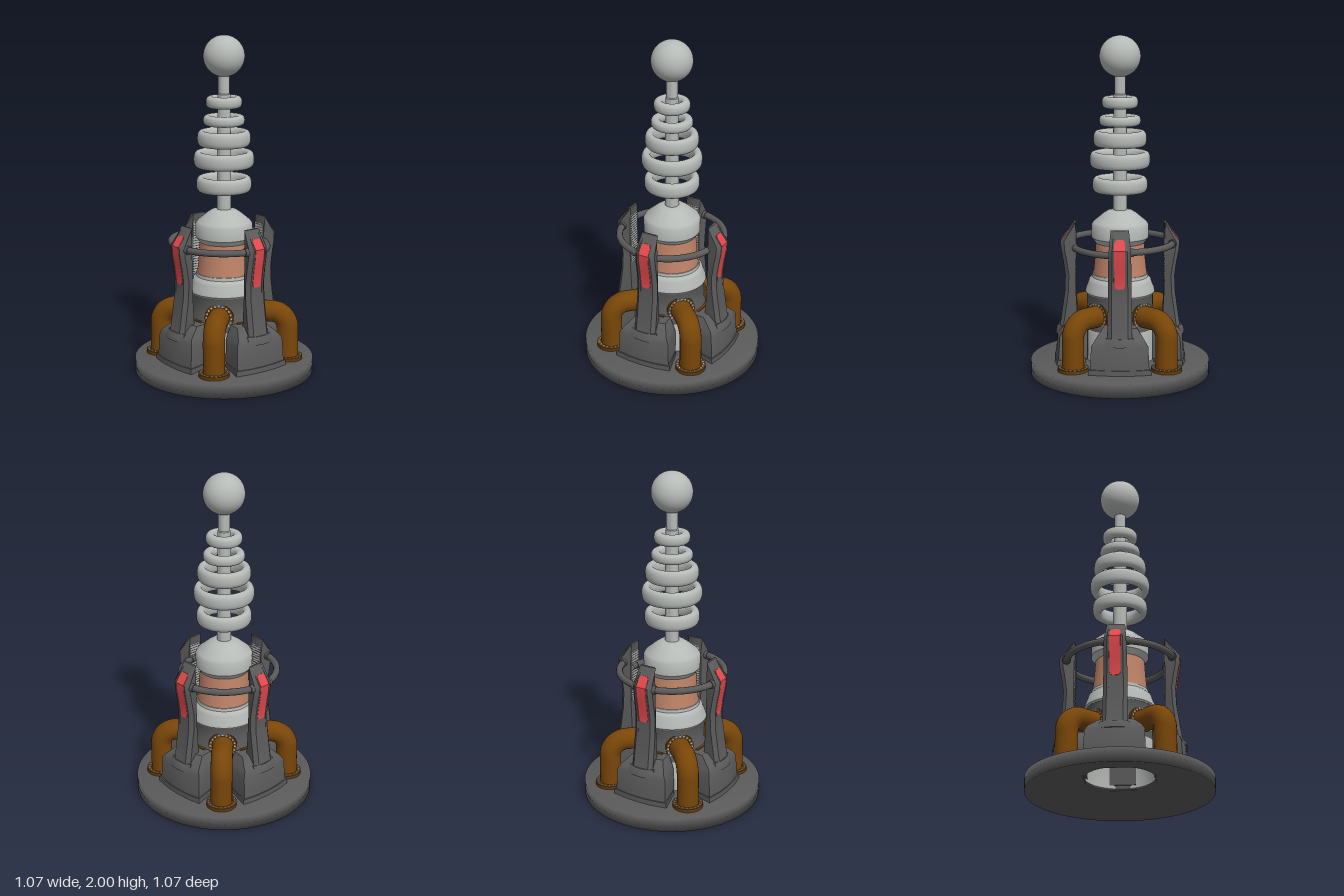
import * as THREE from 'three';
import { toCreasedNormals } from 'three/addons/utils/BufferGeometryUtils.js';

const mat = (name, color, side = THREE.FrontSide) => {
  const m = new THREE.MeshStandardMaterial({ color, side });
  m.name = name;
  return m;
};
const dark = mat('dark steel', 0x5a5a5a, THREE.DoubleSide);
const light = mat('pale metal', 0xb6bab7, THREE.DoubleSide);
const copper = mat('copper', 0xc08469);
const brown = mat('brown pipe', 0x784608, THREE.DoubleSide);
const flangeBrown = mat('dark brown flange', 0x643b0a);
const red = mat('red light', 0xe2484c);

function add(parent, name, geo, material, x = 0, y = 0, z = 0) {
  const m = new THREE.Mesh(geo, material);
  m.name = name;
  m.position.set(x, y, z);
  parent.add(m);
  return m;
}

// Turned parts from [radius, y] pairs, listed upwards on the outside
const smoothLathe = (pts, seg = 64, start = 0, sweep = Math.PI * 2) =>
  new THREE.LatheGeometry(pts.map(p => new THREE.Vector2(...p)), seg, start, sweep);
const lathe = (...args) => toCreasedNormals(smoothLathe(...args), 0.6);

// Solid through equal-length cross-sections of [x, z] at rising heights
function loft(levels) {
  const n = levels[0].pts.length, pos = [];
  const P = (l, i) => [levels[l].pts[i % n][0], levels[l].y, levels[l].pts[i % n][1]];
  for (let l = 0; l < levels.length - 1; l++)
    for (let i = 0; i < n; i++)
      pos.push(...P(l, i), ...P(l, i + 1), ...P(l + 1, i + 1), ...P(l, i), ...P(l + 1, i + 1), ...P(l + 1, i));
  const t = levels.length - 1;
  for (let i = 1; i < n - 1; i++)
    pos.push(...P(0, 0), ...P(0, i + 1), ...P(0, i), ...P(t, 0), ...P(t, i), ...P(t, i + 1));
  const g = new THREE.BufferGeometry();
  g.setAttribute('position', new THREE.Float32BufferAttribute(pos, 3));
  return toCreasedNormals(g, 0.6);
}

// Fin levels: y, outer radius, inner radius, half width, groove depth
const FIN = [
  [0.26, 0.37, 0.24, 0.071, 0], [0.3, 0.355, 0.25, 0.07, 0], [0.4, 0.34, 0.255, 0.069, 0], [0.5, 0.326, 0.26, 0.068, 0],
  [0.6, 0.322, 0.262, 0.067, 0.006], [0.68, 0.333, 0.262, 0.066, 0.006], [0.75, 0.346, 0.262, 0.065, 0.006],
  [0.805, 0.35, 0.262, 0.063, 0.006], [0.91, 0.272, 0.26, 0.052, 0],
];
function finOuter(y) {
  const i = FIN.findIndex((f, k) => k > 0 && f[0] >= y);
  const a = FIN[i - 1], b = FIN[i];
  return a[1] + (b[1] - a[1]) * (y - a[0]) / (b[0] - a[0]);
}

function footLevel(y, ro, ri, wo, wi) {
  return { y, pts: [[-wo, ro - 0.022], [-wo / 2, ro - 0.005], [0, ro], [wo / 2, ro - 0.005], [wo, ro - 0.022], [wi, ri], [-wi, ri]] };
}

function buildButtress() {
  const g = new THREE.Group();
  g.name = 'buttress';
  add(g, 'footFlange', loft([footLevel(0.08, 0.39, 0.2, 0.182, 0.135), footLevel(0.115, 0.388, 0.2, 0.18, 0.135)]), dark);
  add(g, 'foot', loft([
    footLevel(0.11, 0.382, 0.19, 0.17, 0.128), footLevel(0.25, 0.374, 0.19, 0.164, 0.125),
    footLevel(0.28, 0.36, 0.19, 0.145, 0.115), footLevel(0.335, 0.29, 0.19, 0.1, 0.09),
  ]), dark);
  add(g, 'finSocket', loft([footLevel(0.25, 0.384, 0.24, 0.092, 0.08), footLevel(0.275, 0.378, 0.24, 0.088, 0.08),
    footLevel(0.295, 0.365, 0.25, 0.08, 0.072)]), dark);
  add(g, 'fin', loft(FIN.map(([y, ro, ri, w, d]) => {
    const c = ro - Math.min(0.022, (ro - ri) / 2), s = w * 0.68, q = 0.034;
    return { y, pts: [[-s, ro], [-q, ro], [-q, ro - d], [q, ro - d], [q, ro], [s, ro],
      [w, c], [w * 0.72, ri], [-w * 0.72, ri], [-w, c]] };
  })), dark);
  // Light strip set into the groove, rounded at both ends
  const strip = [[0.578, 0.016], [0.584, 0.025], [0.6, 0.031], [0.68, 0.031], [0.75, 0.031],
    [0.805, 0.031], [0.84, 0.031], [0.855, 0.027], [0.863, 0.018]];
  add(g, 'lightStrip', loft(strip.map(([y, w]) => {
    const r = finOuter(y) - 0.001;
    return { y, pts: [[-w, r], [w, r], [w, r - 0.006], [-w, r - 0.006]] };
  })), red);
  // Pale plate with dark ribs on the fin's inner face
  add(g, 'innerPlate', new THREE.BoxGeometry(0.076, 0.32, 0.006), light, 0, 0.7, 0.262);
  const rib = new THREE.BoxGeometry(0.076, 0.005, 0.006);
  for (let i = 0; i < 20; i++) add(g, 'innerRib', rib, dark, 0, 0.548 + i * 0.016, 0.2605);
  // Brown band between the fin and the core
  add(g, 'innerBand', lathe([[0.19, 0.325], [0.218, 0.325], [0.218, 0.342], [0.19, 0.342]], 16, -0.28, 0.56), brown);
  return g;
}

// Ring of bolts around the y axis
function bolts(parent, radius, y, count) {
  const geo = new THREE.CylinderGeometry(0.006, 0.006, 0.008, 8);
  for (let i = 0; i < count; i++) {
    const a = i / count * Math.PI * 2;
    add(parent, 'bolt', geo, light, Math.cos(a) * radius, y, Math.sin(a) * radius);
  }
}

// Elbow pipe running out along +z, with a flange at each end
function buildPipe() {
  const g = new THREE.Group();
  g.name = 'pipe';
  const R = 0.382, top = 0.37, bend = 0.095;
  const path = new THREE.CurvePath();
  const V = (y, z) => new THREE.Vector3(0, y, z);
  path.add(new THREE.LineCurve3(V(0.08, R), V(top - bend, R)));
  path.add(new THREE.CubicBezierCurve3(V(top - bend, R), V(top - bend * 0.45, R), V(top, R - bend * 0.45), V(top, R - bend)));
  path.add(new THREE.LineCurve3(V(top, R - bend), V(top, 0.17)));
  add(g, 'elbow', new THREE.TubeGeometry(path, 40, 0.064, 24), brown);
  const ends = [['baseFlange', 0.092, R, 0, 0.09], ['wallFlange', top, 0.181, Math.PI / 2, 0.085]];
  for (const [name, y, z, tilt, r] of ends) {
    const f = new THREE.Group();
    f.name = name;
    f.position.set(0, y, z);
    f.rotation.x = tilt;
    add(f, 'flangePlate', toCreasedNormals(new THREE.CylinderGeometry(r, r, 0.024, 32), 0.6), flangeBrown);
    bolts(f, r - 0.012, 0.013, 20);
    g.add(f);
  }
  return g;
}

// Hollow ring with rounded edges
function coilRing(outer, h, depth) {
  const pts = [];
  const sq = v => Math.sign(v) * Math.pow(Math.abs(v), 0.85);
  for (let i = 0; i <= 20; i++) {
    const a = i / 20 * Math.PI * 2 + Math.PI;
    pts.push([outer - depth + sq(Math.cos(a)) * depth, sq(Math.sin(a)) * h]);
  }
  return smoothLathe(pts, 48);
}

export function createModel() {
  const model = new THREE.Group();
  model.name = 'coilTower';

  // Base plate, hollowed underneath
  add(model, 'basePlate', smoothLathe([[0.2, 0.085], [0.533, 0], [0.533, 0.082], [0.2, 0.09], [0.2, 0.085]], 72), dark);

  // Core
  add(model, 'lowerDrum', lathe([[0.2, 0.085], [0.205, 0.09], [0.205, 0.27], [0.2, 0.285]]), light);
  add(model, 'coreHousing', lathe([[0.205, 0.28], [0.205, 0.36], [0.195, 0.38], [0.195, 0.47], [0.2, 0.49]]), dark);
  add(model, 'collar', lathe([[0.17, 0.482], [0.2, 0.486], [0.206, 0.495], [0.202, 0.515], [0.186, 0.555], [0.182, 0.57],
    [0.166, 0.584], [0.164, 0.603], [0.14, 0.603]]), light);
  add(model, 'copperWinding', lathe([[0.159, 0.6], [0.152, 0.66], [0.147, 0.72], [0.142, 0.8]]), copper);
  add(model, 'dome', lathe([[0.125, 0.785], [0.142, 0.787], [0.167, 0.82], [0.168, 0.895], [0.158, 0.912], [0.1, 0.96],
    [0.075, 0.977], [0.05, 0.983], [0, 0.983]]), light);

  // Mast with rings and ball
  add(model, 'mast', lathe([[0.041, 0.97], [0.041, 1.3], [0.037, 1.66], [0.033, 1.665], [0.033, 1.8]], 32), light);
  add(model, 'ball', new THREE.SphereGeometry(0.12, 48, 32), light, 0, 1.88, 0);
  const rings = [[1.134, 0.162, 0.045], [1.281, 0.177, 0.047], [1.404, 0.156, 0.046], [1.509, 0.121, 0.03], [1.615, 0.105, 0.034]];
  for (const [y, r, h] of rings) add(model, 'coilRing', coilRing(r, h, 0.027), light, 0, y, 0);

  // Fins, pipes and connecting bars, four of each
  for (let i = 0; i < 4; i++) {
    const turn = i * Math.PI / 2;
    const b = buildButtress();
    b.rotation.y = turn;
    model.add(b);
    const p = buildPipe();
    p.rotation.y = turn + Math.PI / 4;
    model.add(p);

    // The back right bar sits lower and further inward than the others
    const bar = new THREE.Group();
    bar.name = 'connectingBar';
    const arc = add(bar, 'bar', new THREE.TorusGeometry(0.312, 0.02, 12, 24, Math.PI / 2), dark);
    arc.rotation.x = -Math.PI / 2;
    for (const a of [0.2, Math.PI / 2 - 0.2]) {
      const c = add(bar, 'barCollar', new THREE.CylinderGeometry(0.025, 0.025, 0.03, 16), dark,
        Math.cos(a) * 0.312, 0, -Math.sin(a) * 0.312);
      c.rotation.set(Math.PI / 2, 0, -a);
    }
    bar.rotation.y = turn;
    bar.position.set(0, 0.79, 0);
    if (i === 0) bar.position.set(-0.035, 0.76, 0.045);
    model.add(bar);
  }
  return model;
}
